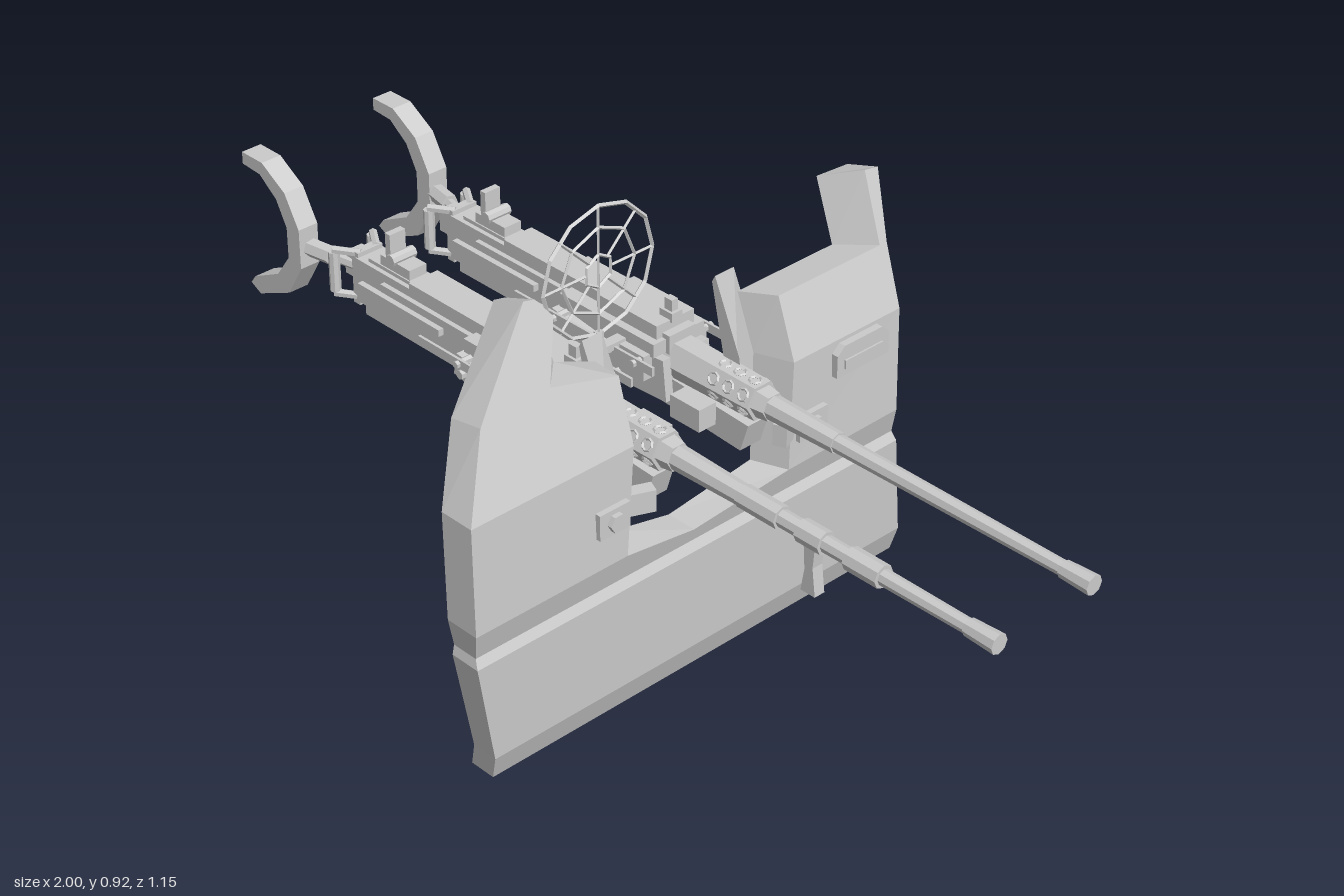
import * as THREE from 'three';

const mat = new THREE.MeshStandardMaterial({ color: 0xcccccc, flatShading: true, side: THREE.DoubleSide });

function add(parent, name, geo, x = 0, y = 0, z = 0) {
  const m = new THREE.Mesh(geo, mat);
  m.name = name;
  m.position.set(x, y, z);
  parent.add(m);
  return m;
}
// Box from its limits
function box(parent, name, x0, x1, y0, y1, z0, z1) {
  return add(parent, name, new THREE.BoxGeometry(x1 - x0, y1 - y0, Math.abs(z1 - z0)),
    (x0 + x1) / 2, (y0 + y1) / 2, (z0 + z1) / 2);
}
// Cylinder along x
function rod(parent, name, x0, x1, r0, r1, y, z, sides = 8) {
  const g = new THREE.CylinderGeometry(r1, r0, x1 - x0, sides).rotateZ(-Math.PI / 2);
  return add(parent, name, g, (x0 + x1) / 2, y, z);
}
// Cylinder between two points
function link(parent, name, a, b, r, sides = 6) {
  const p = new THREE.Vector3(...a), q = new THREE.Vector3(...b);
  const m = add(parent, name, new THREE.CylinderGeometry(r, r, p.distanceTo(q), sides));
  m.position.copy(p).lerp(q, 0.5);
  m.quaternion.setFromUnitVectors(new THREE.Vector3(0, 1, 0), q.sub(p).normalize());
  return m;
}
// Plate with an outline in x and y, and a width in z
function plate(parent, name, pts, z, width) {
  const s = new THREE.Shape(pts.map(p => new THREE.Vector2(...p)));
  const g = new THREE.ExtrudeGeometry(s, { depth: width, bevelEnabled: false }).translate(0, 0, -width / 2);
  return add(parent, name, g, 0, 0, z);
}

// Shield section: x of the front and back face at each height
const interp = table => y => {
  let i = 1;
  while (i < table.length - 1 && y > table[i][0]) i++;
  const [y0, x0] = table[i - 1], [y1, x1] = table[i];
  return x0 + (x1 - x0) * (y - y0) / (y1 - y0);
};
const frontX = interp([[0, 0.16], [0.06, 0.18], [0.29, 0.185], [0.31, 0.175], [0.37, 0.19], [0.6, 0.18], [0.92, 0.05]]);
const backX = interp([[0, 0.1], [0.06, 0.12], [0.3, 0.115], [0.6, 0.1], [0.92, -0.045]]);

// Convex panel; each corner is [front z, y, back z]
function panel(parent, name, pts, fx = frontX, bx = backX) {
  const f = pts.map(([z, y]) => [fx(y), y, z]);
  const b = pts.map(([z, y, zb = z]) => {
    const yb = y - Math.max(0, y - 0.6) * 0.1;
    return [bx(yb), yb, zb];
  });
  const v = [];
  const n = pts.length;
  for (let i = 0; i < n; i++) {
    const j = (i + 1) % n;
    if (i > 0 && i < n - 1) v.push(...f[0], ...f[i], ...f[j], ...b[0], ...b[j], ...b[i]);
    v.push(...f[i], ...b[i], ...b[j], ...f[i], ...b[j], ...f[j]);
  }
  const g = new THREE.BufferGeometry();
  g.setAttribute('position', new THREE.Float32BufferAttribute(v, 3));
  g.computeVertexNormals();
  return add(parent, name, g);
}

function makeShield() {
  const s = new THREE.Group();
  s.name = 'shield';
  // Lower apron
  panel(s, 'bottomLip', [[0.52, 0], [-0.57, 0], [-0.57, 0.06], [0.53, 0.06]]);
  panel(s, 'apron', [[0.53, 0.06], [-0.57, 0.06], [-0.545, 0.29], [0.57, 0.29]]);
  panel(s, 'apronStep', [[0.57, 0.29], [-0.545, 0.29], [-0.54, 0.31], [0.565, 0.31]]);
  panel(s, 'leftSill', [[0.565, 0.31], [0.02, 0.31], [0.02, 0.34], [0.2, 0.37, 0.165], [0.575, 0.37]]);
  panel(s, 'rightSill', [[0.02, 0.31], [-0.54, 0.31], [-0.535, 0.37], [-0.23, 0.365, -0.2], [0.02, 0.34]]);
  // Tall wing
  panel(s, 'leftWing', [[0.575, 0.37], [0.2, 0.37, 0.165], [0.175, 0.6, 0.155], [0.57, 0.6]]);
  panel(s, 'leftWingSlope', [[0.57, 0.6], [0.175, 0.6, 0.155], [0.165, 0.725, 0.15], [0.32, 0.76, 0.24], [0.49, 0.75]]);
  panel(s, 'leftWingPeak', [[0.49, 0.75], [0.32, 0.76, 0.24], [0.27, 0.87, 0.245], [0.3, 0.91], [0.325, 0.915]]);
  // Low wing with its horn
  panel(s, 'rightWing', [[-0.23, 0.365, -0.2], [-0.535, 0.37], [-0.54, 0.6], [-0.245, 0.6, -0.215]]);
  panel(s, 'rightWingSlope', [[-0.245, 0.6, -0.215], [-0.54, 0.6], [-0.55, 0.725], [-0.25, 0.725, -0.22]]);
  panel(s, 'rightHorn', [[-0.53, 0.725, -0.48], [-0.55, 0.725], [-0.575, 0.86], [-0.54, 0.865, -0.49]]);
  // Strips behind the opening
  for (const [a, b] of [[0.165, 0.115], [-0.178, -0.228]])
    panel(s, 'backStrip', [[a, 0.42], [b, 0.42], [b, 0.6], [b, 0.755], [a, 0.755], [a, 0.6]], backX, y => backX(y) - 0.015);
  // Raised hatch
  const hatch = new THREE.Shape([[-0.35, 0.525], [-0.495, 0.525], [-0.495, 0.575], [-0.475, 0.592], [-0.37, 0.592], [-0.35, 0.575]]
    .map(([z, y]) => new THREE.Vector2(-z, y)));
  add(s, 'hatch', new THREE.ExtrudeGeometry(hatch, { depth: 0.018, bevelEnabled: false }).rotateY(Math.PI / 2), 0.178);
  box(s, 'hatchSlot', 0.19, 0.2, 0.54, 0.56, -0.37, -0.475);
  // Bolted brackets
  for (const [z, y, inner] of [[0.238, 0.47, 0.13], [-0.288, 0.45, -0.2]]) {
    box(s, 'bracketPlate', 0.18, 0.197, y - 0.028, y + 0.028, z - 0.038, z + 0.038);
    rod(s, 'bracketBolt', 0.19, 0.208, 0.02, 0.02, y, z, 6);
    const mid = (z + inner) / 2;
    const arm = box(s, 'bracketArm', 0.11, 0.195, y - 0.02, y + 0.028, mid - 0.006, mid + 0.006);
    arm.scale.z = Math.abs(z - inner) / 0.012;
    arm.scale.x = 0.35;
    arm.position.x = 0.17;
    arm.rotation.y = z > 0 ? -0.4 : 0.4;
  }
  return s;
}

// One gun; s = 1 is the left, s = -1 the right, and local +z points outward
function makeGun(s) {
  const g = new THREE.Group();
  g.name = s > 0 ? 'leftGun' : 'rightGun';
  const B = (name, x0, x1, y0, y1, z0, z1) => box(g, name, x0, x1, y0, y1, s * z0, s * z1);
  const y = 0.55;
  // Barrel
  rod(g, 'barrel', 0.18, 0.95, 0.02, 0.015, y, 0);
  rod(g, 'barrelSleeve', 0.2, 0.38, 0.026, 0.022, y, 0);
  rod(g, 'muzzle', 0.93, 1, 0.018, 0.021, y, 0);
  if (s > 0) {
    for (const [a, b] of [[0.38, 0.48], [0.53, 0.59], [0.65, 0.73]]) rod(g, 'barrelClamp', a, b, 0.024, 0.024, y, 0);
    plate(g, 'hangingStrap', [[0.545, 0.55], [0.575, 0.55], [0.57, 0.49], [0.578, 0.43], [0.542, 0.43], [0.55, 0.48]], 0, 0.025);
  }
  // Perforated jacket
  rod(g, 'jacket', -0.06, 0.18, 0.046, 0.042, y, 0, 6);
  rod(g, 'jacketCollar', 0.165, 0.21, 0.036, 0.03, y, 0, 6);
  for (const a of [0, 1, 2, 3, 4, 5]) for (const x of [0.08, 0.12, 0.16]) {
    const t = a * Math.PI / 3 + Math.PI / 2, r = 0.038;
    const hole = add(g, 'jacketHole', new THREE.TorusGeometry(0.012, 0.003, 4, 8), x, y + r * Math.sin(t), r * Math.cos(t));
    hole.rotation.set(-t, 0, 0);
    if (a % 3 !== 1) hole.lookAt(x, y + 2 * Math.sin(t), 2 * Math.cos(t));
    else hole.lookAt(x, y + 2 * Math.sin(t), 2 * Math.cos(t));
  }
  // Receiver
  B('receiver', -0.69, -0.04, 0.51, 0.61, -0.035, 0.035);
  B('receiverBottom', -0.67, -0.36, 0.485, 0.52, -0.03, 0.03);
  B('topCover', -0.52, -0.13, 0.605, 0.625, -0.037, 0.037);
  B('feedCover', -0.23, -0.06, 0.6, 0.63, -0.05, 0.05);
  B('rearCover', -0.66, -0.5, 0.6, 0.618, -0.025, 0.025);
  for (const k of [-1, 1]) {
    B('sideRail', -0.67, -0.42, 0.55, 0.565, k * 0.035, k * 0.048);
    B('sideSlide', -0.6, -0.3, 0.575, 0.592, k * 0.035, k * 0.046);
    plate(g, 'sidePlate', [[-0.36, 0.5], [-0.2, 0.47], [-0.02, 0.48], [-0.03, 0.57], [-0.1, 0.565], [-0.2, 0.53], [-0.35, 0.55]], k * 0.052, 0.02);
    B('feedLip', -0.32, -0.05, 0.57, 0.6, k * 0.035, k * 0.068);
    // Outer rails and their pins
    B('feedRail', -0.42, -0.02, 0.555, 0.575, k * 0.094, k * 0.1);
    for (const x of [-0.3, -0.14, -0.07])
      link(g, 'railPin', [x, 0.565, k * 0.03], [x, 0.565, k * 0.108], 0.008);
    B('feedBlock', -0.14, -0.06, 0.52, 0.575, k * 0.045, k * 0.085);
  }
  link(g, 'chargingHandle', [-0.31, 0.53, s * 0.03], [-0.31, 0.53, s * 0.09], 0.01);
  // Cradle below
  plate(g, 'cradle', [[-0.24, 0.47], [-0.2, 0.455], [0.15, 0.435], [0.17, 0.5], [-0.03, 0.51], [-0.24, 0.5]], 0, 0.055);
  B('innerLug', 0.02, 0.1, 0.48, 0.53, -0.09, -0.045);
  // Sights
  B('frontSightBase', -0.09, -0.055, 0.625, 0.645, -0.014, 0.014);
  B('frontSight', -0.083, -0.062, 0.64, 0.67, -0.008, 0.008);
  B('rearSightBase', -0.625, -0.535, 0.61, 0.64, -0.022, 0.022);
  B('rearSight', -0.61, -0.595, 0.63, 0.695, -0.02, 0.02);
  link(g, 'rearSightKnob', [-0.585, 0.645, -0.03], [-0.585, 0.645, 0.03], 0.013, 8);
  // Back plate and twin grips
  B('backBuffer', -0.74, -0.68, 0.55, 0.6, -0.022, 0.022);
  B('backPlate', -0.705, -0.685, 0.5, 0.62, -0.032, 0.032);
  for (const k of [-1, 1]) {
    link(g, 'grip', [-0.74, 0.52, k * 0.05], [-0.74, 0.61, k * 0.05], 0.012, 8);
    for (const h of [0.515, 0.615]) {
      link(g, 'gripArm', [-0.69, h, k * 0.02], [-0.74, h, k * 0.052], 0.009);
    }
  }
  // Shoulder rest
  link(g, 'restStem', [-0.69, 0.58, s * 0.015], [-0.79, 0.58, s * 0.035], 0.012);
  link(g, 'restStemEnd', [-0.77, 0.58, s * 0.032], [-0.85, 0.58, s * 0.046], 0.02);
  plate(g, 'shoulderRest', [[-1, 0.742], [-0.935, 0.742], [-0.865, 0.7], [-0.825, 0.63], [-0.825, 0.54], [-0.87, 0.465], [-0.97, 0.42],
    [-1, 0.435], [-0.985, 0.455], [-0.905, 0.495], [-0.865, 0.55], [-0.865, 0.62], [-0.895, 0.675], [-0.945, 0.712], [-1, 0.715]], s * 0.047, 0.048);
  return g;
}

// Spider ring sight facing along x
function makeRingSight() {
  const g = new THREE.Group();
  g.name = 'ringSight';
  for (const [r, n, t] of [[0.142, 12, 0.005], [0.095, 8, 0.004], [0.036, 6, 0.004]])
    add(g, 'sightRing', new THREE.TorusGeometry(r, t, 4, n).rotateZ(Math.PI / 2).rotateY(Math.PI / 2));
  for (let i = 0; i < 8; i++) {
    const c = Math.cos(i * Math.PI / 4), d = Math.sin(i * Math.PI / 4);
    const r0 = i % 4 === 2 ? 0 : 0.034;
    link(g, 'sightSpoke', [0, r0 * d, r0 * c], [0, 0.141 * d, 0.141 * c], 0.0035, 4);
  }
  box(g, 'sightStem', -0.006, 0.006, -0.18, -0.135, -0.008, 0.008);
  box(g, 'sightCrossbar', -0.012, 0.012, -0.185, -0.17, -0.08, 0.08);
  g.position.set(-0.14, 0.752, -0.033);
  return g;
}

export function createModel() {
  const model = new THREE.Group();
  model.name = 'twinGunMount';
  model.add(makeShield(), makeRingSight());
  for (const s of [1, -1]) {
    const gun = makeGun(s);
    gun.position.z = -0.036 + s * 0.125;
    model.add(gun);
  }
  return model;
}
